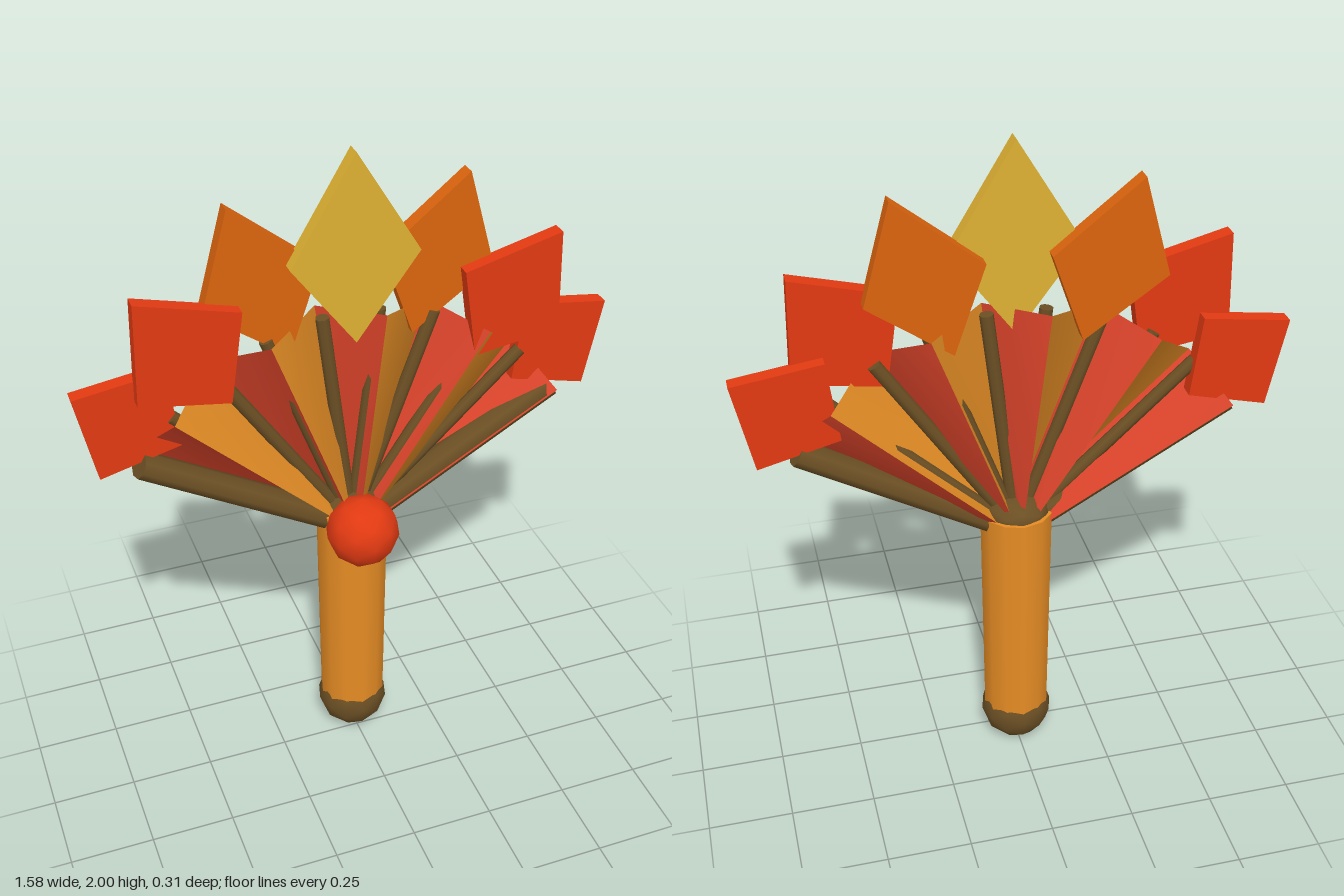
import * as THREE from 'three';

const mat = (name, color, side = THREE.FrontSide) => {
  const m = new THREE.MeshStandardMaterial({ color, side });
  m.name = name;
  return m;
};

export function createModel() {
  const group = new THREE.Group();
  const orange = mat('handle orange', 0xe68c24);
  const brown = mat('dark wood', 0x6b4f24);
  const red = mat('bright red', 0xe23a12);
  const pleatRed = mat('pleat red', 0xd9432a, THREE.DoubleSide);
  const pleatOrange = mat('pleat orange', 0xe08a24, THREE.DoubleSide);
  const leafOrange = mat('leaf orange', 0xdc640e);
  const yellow = mat('gold', 0xdeb132);

  const add = (name, geo, material, x = 0, y = 0, z = 0) => {
    const m = new THREE.Mesh(geo, material);
    m.name = name;
    m.position.set(x, y, z);
    group.add(m);
    return m;
  };

  // Handle, rounded foot, top hub and front ball
  const midZ = -0.047;
  add('handle', new THREE.CylinderGeometry(0.108, 0.1, 0.77, 12), orange, 0, 0.485, midZ);
  add('handleFoot', new THREE.IcosahedronGeometry(0.11, 1), brown, 0, 0.11, midZ);
  add('hub', new THREE.IcosahedronGeometry(0.1, 1), brown, 0, 0.865, midZ).scale.y = 0.55;
  add('ball', new THREE.IcosahedronGeometry(0.11, 1), red, 0, 0.835, 0.048);

  // Fan layout: ten ribs spread evenly, nine pleats between them
  const hubY = 0.8, step = Math.PI * 2 / 27;
  const angle = (i) => (i - 4.5) * step;
  const polar = (i, r, z) => [Math.sin(angle(i)) * r, hubY + Math.cos(angle(i)) * r, z];

  for (let i = 0; i < 10; i++) {
    const guard = i === 0 || i === 9;
    const inner = guard ? 0.08 : 0.04, outer = 0.72;
    const geo = new THREE.CylinderGeometry(guard ? 0.038 : 0.02, guard ? 0.038 : 0.02, outer - inner, 8);
    const rib = add(guard ? 'guardRib' : 'rib', geo, brown, ...polar(i, (inner + outer) / 2, -0.047));
    rib.rotation.z = -angle(i);
    if (guard) rib.scale.z = 1.4;
  }

  // Pleats zigzag between the back and front fold lines
  const foldZ = (i) => (i % 2 ? 0.012 : -0.11);
  for (let i = 0; i < 9; i++) {
    const a = polar(i, 0.06, foldZ(i)), b = polar(i + 1, 0.06, foldZ(i + 1));
    const c = polar(i + 1, 0.725, foldZ(i + 1)), d = polar(i, 0.725, foldZ(i));
    const geo = new THREE.BufferGeometry();
    geo.setAttribute('position', new THREE.Float32BufferAttribute([a, b, c, d].flat(), 3));
    geo.setIndex([0, 1, 2, 0, 2, 3]);
    geo.computeVertexNormals();
    add('pleat', geo, i % 2 ? pleatOrange : pleatRed);
  }

  // Kite-shaped leaves around the rim
  const leaf = (name, pts, material, z) => {
    for (const s of pts[0][0] === 0 ? [1] : [1, -1]) {
      const shape = new THREE.Shape(pts.map(([x, y]) => new THREE.Vector2(x * s, y)));
      add(name, new THREE.ExtrudeGeometry(shape, { depth: 0.045, bevelEnabled: false }), material, 0, 0, z);
    }
  };
  leaf('topLeaf', [[0, 2], [0.185, 1.695], [0, 1.445], [-0.185, 1.695]], yellow, -0.046);
  leaf('upperLeaf', [[0.34, 1.88], [0.42, 1.59], [0.18, 1.42], [0.09, 1.68]], leafOrange, -0.084);
  leaf('sideLeaf', [[0.61, 1.675], [0.62, 1.37], [0.36, 1.328], [0.32, 1.6]], red, -0.046);
  leaf('lowerLeaf', [[0.788, 1.405], [0.735, 1.14], [0.5, 1.2], [0.53, 1.442]], red, -0.084);
  return group;
}
